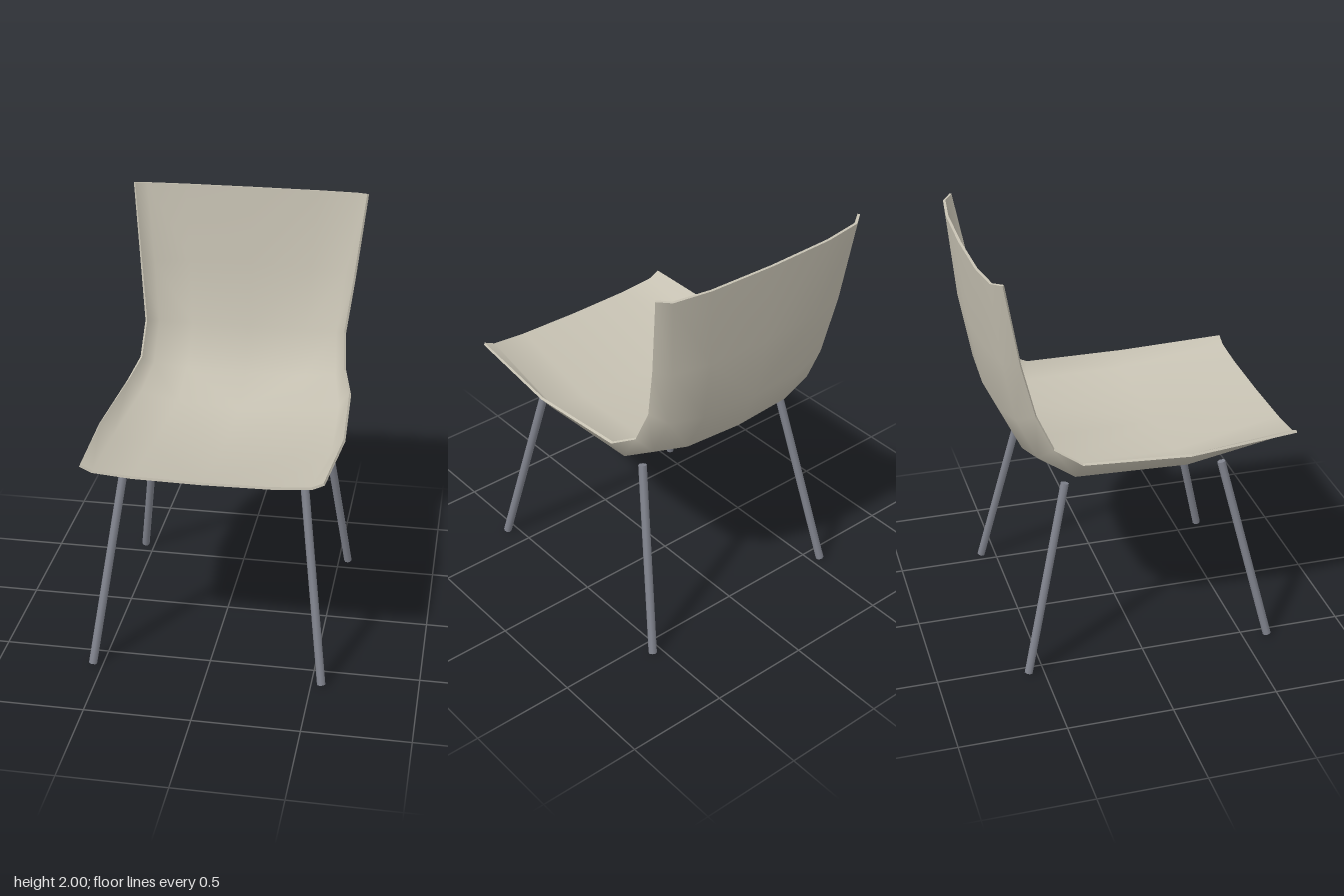
import * as THREE from 'three';

const THICKNESS = 0.012;

// Shell stations from front lip to top of back: half width, spine [z, y], rim [z, y]
const STATIONS = [
  [0.55, 0.72, 1.055, 0.72, 1.1],
  [0.585, 0.2, 0.947, 0.2, 1.07],
  [0.56, -0.34, 0.942, -0.3, 1.085],
  [0.52, -0.53, 1.06, -0.425, 1.16],
  [0.507, -0.635, 1.28, -0.5, 1.33],
  [0.54, -0.69, 1.6, -0.57, 1.6],
  [0.583, -0.718, 1.985, -0.645, 2.0],
];
// Cross-section: fraction of half width, and rise from spine to rim
const SECTION = [[-1, 1], [-0.9, 0.42], [-0.57, 0.1], [0, 0], [0.57, 0.1], [0.9, 0.42], [1, 1]];

function makeGeometry(positions, index) {
  const g = new THREE.BufferGeometry();
  g.setAttribute('position', new THREE.Float32BufferAttribute(positions, 3));
  g.setIndex(index);
  g.computeVertexNormals();
  return g;
}

function makeShell(material) {
  const shell = new THREE.Group();
  shell.name = 'seatShell';
  const cols = SECTION.length, rows = STATIONS.length;
  const outer = [], upIndex = [], downIndex = [];
  for (const [half, sz, sy, rz, ry] of STATIONS) {
    for (const [fx, rise] of SECTION) {
      outer.push(half * fx, sy + (ry - sy) * rise, sz + (rz - sz) * rise);
    }
  }
  for (let j = 0; j < rows - 1; j++) {
    for (let i = 0; i < cols - 1; i++) {
      const a = j * cols + i, b = a + 1, c = a + cols, d = c + 1;
      // mirror the diagonals about the centre line
      const tris = i < (cols - 1) / 2 ? [[a, b, c], [b, d, c]] : [[a, b, d], [a, d, c]];
      for (const [p, q, r] of tris) {
        upIndex.push(p, q, r);
        downIndex.push(p, r, q);
      }
    }
  }

  // Underside, and the sitting face offset along its normals
  const under = makeGeometry(outer, downIndex);
  const normals = under.attributes.normal.array;
  const inner = outer.map((v, k) => v - normals[k] * THICKNESS);
  const top = makeGeometry(inner, upIndex);

  // Thin rim joining both faces around the outline
  const loop = [];
  for (let i = 0; i < cols - 1; i++) loop.push(i);
  for (let j = 0; j < rows - 1; j++) loop.push(j * cols + cols - 1);
  for (let i = cols - 1; i > 0; i--) loop.push((rows - 1) * cols + i);
  for (let j = rows - 1; j > 0; j--) loop.push(j * cols);
  const rimPos = [], rimIndex = [];
  loop.forEach((p, k) => {
    const q = loop[(k + 1) % loop.length], n = k * 4;
    for (const [src, v] of [[outer, p], [outer, q], [inner, q], [inner, p]]) {
      rimPos.push(src[v * 3], src[v * 3 + 1], src[v * 3 + 2]);
    }
    rimIndex.push(n, n + 1, n + 2, n, n + 2, n + 3);
  });
  const rim = makeGeometry(rimPos, rimIndex);

  for (const [name, g] of [['shellUnderside', under], ['shellSittingFace', top], ['shellRim', rim]]) {
    const mesh = new THREE.Mesh(g, material);
    mesh.name = name;
    shell.add(mesh);
  }
  return shell;
}

// Straight rod between two points
function makeLeg(name, from, to, material) {
  const dir = to.clone().sub(from);
  const leg = new THREE.Mesh(new THREE.CylinderGeometry(0.02, 0.02, dir.length(), 8), material);
  leg.name = name;
  leg.position.copy(from).add(to).multiplyScalar(0.5);
  leg.quaternion.setFromUnitVectors(new THREE.Vector3(0, 1, 0), dir.normalize());
  return leg;
}

export function createModel() {
  const shellMaterial = new THREE.MeshStandardMaterial({ color: 0xc6c1b2 });
  shellMaterial.name = 'warm grey shell';
  const legMaterial = new THREE.MeshStandardMaterial({ color: 0x80838d });
  legMaterial.name = 'grey metal';

  const chair = new THREE.Group();
  chair.name = 'chair';
  chair.add(makeShell(shellMaterial));

  // Four splayed legs
  for (const [side, s] of [['Left', 1], ['Right', -1]]) {
    for (const [end, footZ, topZ] of [['front', 0.62, 0.4], ['back', -0.573, -0.353]]) {
      chair.add(makeLeg(`${end}${side}Leg`,
        new THREE.Vector3(0.548 * s, 0.006, footZ),
        new THREE.Vector3(0.424 * s, 0.932, topZ), legMaterial));
    }
  }
  return chair;
}
